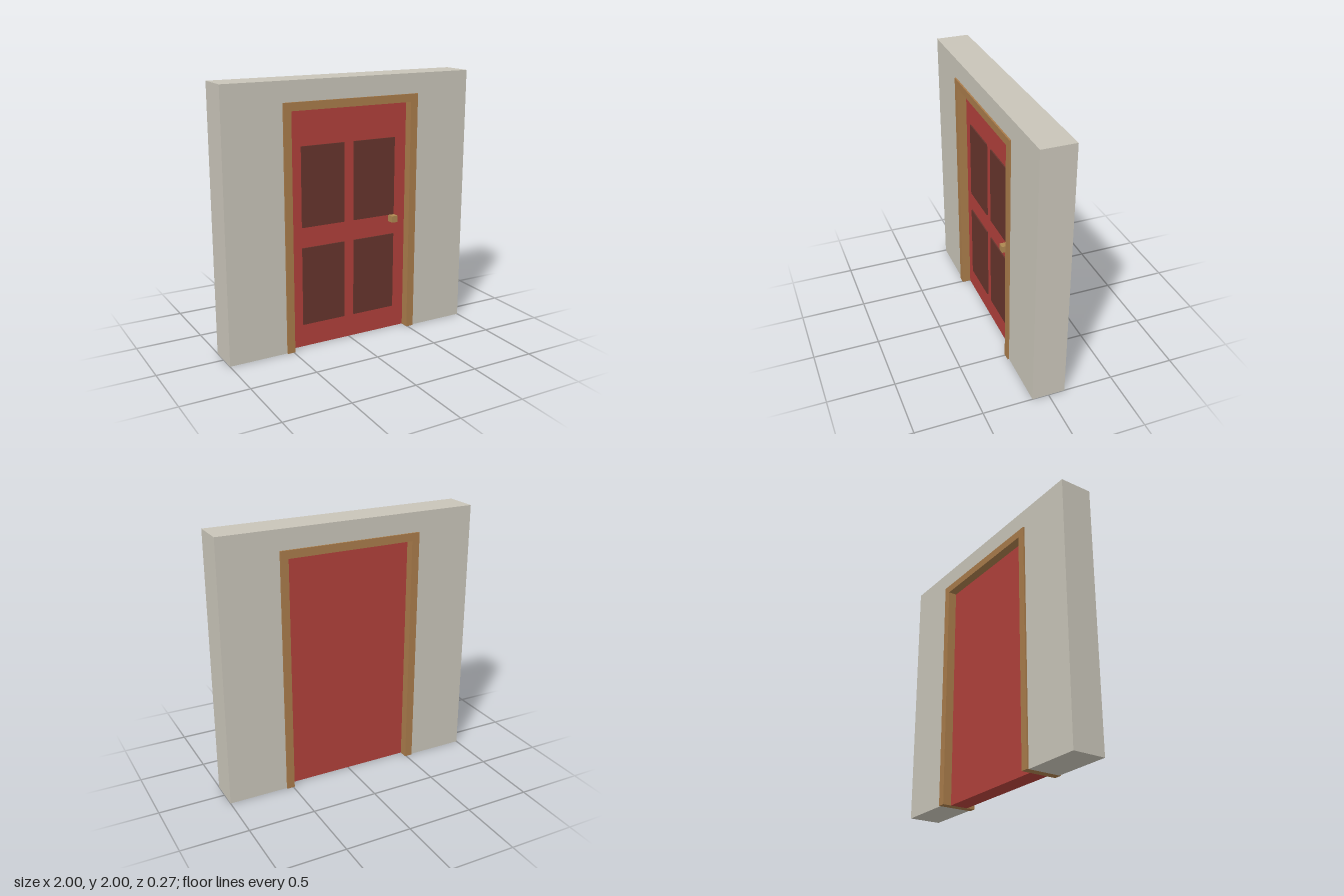
import * as THREE from 'three';

const material = (name, color) => {
  const m = new THREE.MeshStandardMaterial({ color });
  m.name = name;
  return m;
};

export function createModel() {
  const plaster = material('plaster', 0xc8c4b8);
  const wood = material('frame wood', 0xa87b4a);
  const red = material('red paint', 0xb0403a);
  const brown = material('dark brown paint', 0x66342c);
  const brass = material('brass', 0xad8650);

  const model = new THREE.Group();
  model.name = 'doorInWall';

  const add = (geometry, mat, name, parent = model) => {
    const mesh = new THREE.Mesh(geometry, mat);
    mesh.name = name;
    parent.add(mesh);
    return mesh;
  };

  // Arch-shaped slab: a rectangle with a doorway cut up from the floor
  const portal = (outerX, outerY, innerX, innerY, depth) => {
    const shape = new THREE.Shape([
      [-outerX, 0], [-innerX, 0], [-innerX, innerY], [innerX, innerY],
      [innerX, 0], [outerX, 0], [outerX, outerY], [-outerX, outerY],
    ].map(([x, y]) => new THREE.Vector2(x, y)));
    return new THREE.ExtrudeGeometry(shape, { depth, bevelEnabled: false })
      .translate(0, 0, -depth / 2);
  };

  // Wall and the frame that lines its opening
  add(portal(1, 2, 0.55, 1.85, 0.25), plaster, 'wall');
  add(portal(0.55, 1.85, 0.49, 1.79, 0.274), wood, 'doorFrame');

  // Door leaf, set back from both faces of the frame
  const door = new THREE.Group();
  door.name = 'door';
  model.add(door);
  const front = 0.07;
  add(new THREE.BoxGeometry(0.98, 1.79, front * 2), red, 'doorLeaf', door)
    .position.y = 0.895;

  // Four raised panels on the front
  for (const [row, y] of [['lower', 0.475], ['upper', 1.228]]) {
    for (const [side, x] of [['Right', -0.215], ['Left', 0.215]]) {
      add(new THREE.BoxGeometry(0.35, 0.598, 0.009), brown, `${row}${side}Panel`, door)
        .position.set(x, y, front + 0.0045);
    }
  }

  // Square knob
  add(new THREE.BoxGeometry(0.05, 0.05, 0.055), brass, 'knob', door)
    .position.set(0.372, 0.902, front + 0.0275);

  return model;
}
